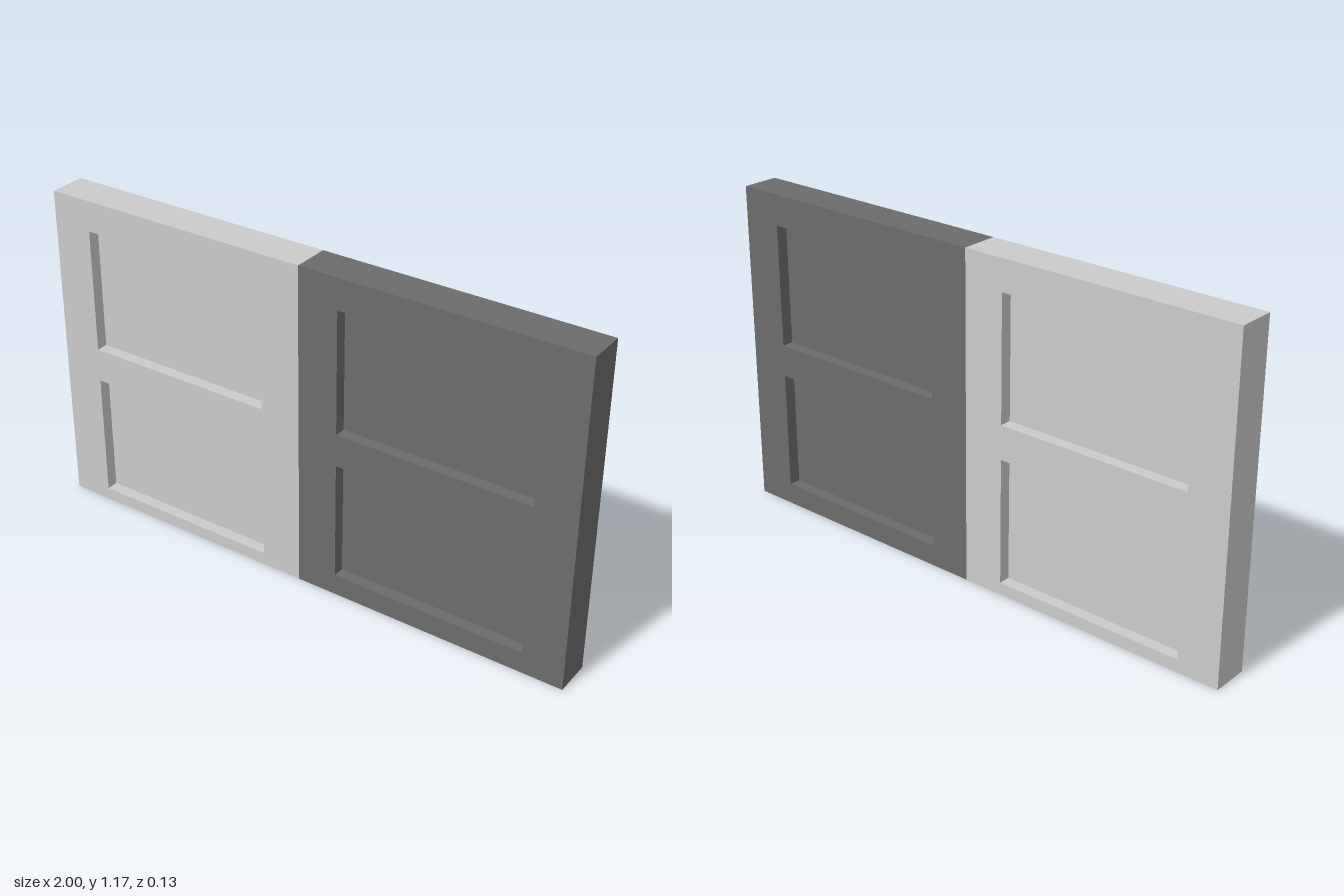
import * as THREE from 'three';

const HEIGHT = 1.172, DEPTH = 0.134, RECESS = 0.042;

// Path around a rectangle, shared by the leaf outline and its openings
function rect(path, x0, x1, y0, y1) {
  path.moveTo(x0, y0);
  path.lineTo(x1, y0);
  path.lineTo(x1, y1);
  path.lineTo(x0, y1);
  path.closePath();
  return path;
}

// One shutter leaf: a frame with two openings, each closed by a thin panel
// that sits recessed from both faces
function makeLeaf(name, color, x0, x1, openings) {
  const leaf = new THREE.Group();
  leaf.name = name;
  const material = new THREE.MeshStandardMaterial({ color, flatShading: true });

  const outline = rect(new THREE.Shape(), x0, x1, 0, HEIGHT);
  for (const o of openings) outline.holes.push(rect(new THREE.Path(), ...o));
  const frameGeo = new THREE.ExtrudeGeometry(outline, { depth: DEPTH, bevelEnabled: false });
  frameGeo.translate(0, 0, -DEPTH / 2);
  const frame = new THREE.Mesh(frameGeo, material);
  frame.name = name + 'Frame';
  leaf.add(frame);

  openings.forEach(([a, b, c, d], i) => {
    const panel = new THREE.Mesh(new THREE.BoxGeometry(b - a, d - c, DEPTH - 2 * RECESS), material);
    panel.position.set((a + b) / 2, (c + d) / 2, 0);
    panel.name = name + (i ? 'LowerPanel' : 'UpperPanel');
    leaf.add(panel);
  });
  return leaf;
}

export function createModel() {
  const model = new THREE.Group();
  model.name = 'panelledShutters';
  // Openings are [x0, x1, y0, y1], upper first
  model.add(makeLeaf('rightLeaf', 0xcccccc, -1, 0, [
    [-0.853, -0.148, 0.617, 1.062],
    [-0.853, -0.148, 0.045, 0.495],
  ]));
  model.add(makeLeaf('leftLeaf', 0x6c6c6c, 0, 1, [
    [0.146, 0.852, 0.622, 1.062],
    [0.146, 0.852, 0.077, 0.506],
  ]));
  return model;
}
